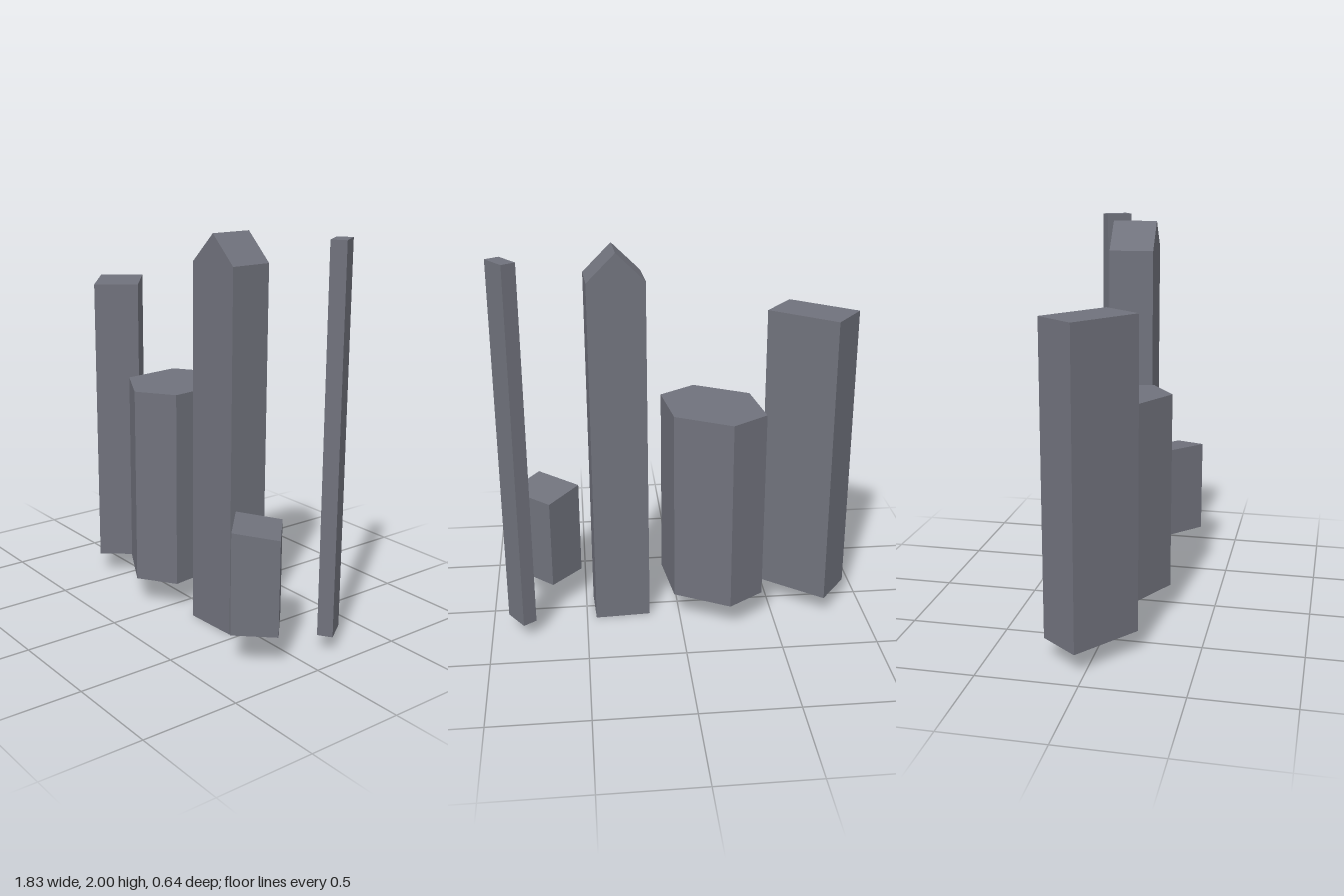
import * as THREE from 'three';

const slate = new THREE.MeshStandardMaterial({ color: 0x70727c, side: THREE.DoubleSide });
slate.name = 'slate grey';

// Hollow prism, open underneath. Footprint corners are [x, z, topHeight],
// clockwise from above; the cap is made of strips across the footprint.
function prism(name, base, corners) {
  const n = corners.length;
  const low = corners.map(([x, z]) => [x, base, z]);
  const high = corners.map(([x, z, top]) => [x, top, z]);
  const positions = [];
  const quad = (a, b, c, d) => positions.push(...a, ...b, ...c, ...a, ...c, ...d);

  // walls
  for (let i = 0; i < n; i++) {
    const j = (i + 1) % n;
    quad(low[j], low[i], high[i], high[j]);
  }
  // cap
  for (let i = 0; i < n / 2 - 1; i++) {
    quad(high[n - 1 - i], high[n - 2 - i], high[i + 1], high[i]);
  }

  const geometry = new THREE.BufferGeometry();
  geometry.setAttribute('position', new THREE.Float32BufferAttribute(positions, 3));
  geometry.computeVertexNormals();
  const mesh = new THREE.Mesh(geometry, slate);
  mesh.name = name;
  return mesh;
}

// Gives every footprint corner the same height
const flat = (top, points) => points.map(([x, z]) => [x, z, top]);

export function createModel() {
  const group = new THREE.Group();
  group.name = 'towerCluster';
  group.add(
    prism('broadSlabTower', 0.11, flat(1.66, [
      [-0.917, -0.04], [-0.772, -0.225], [-0.461, 0.016], [-0.606, 0.2],
    ])),
    prism('hexagonalTower', 0.15, flat(1.177, [
      [-0.436, -0.197], [-0.25, -0.322], [0.032, -0.17],
      [0.072, 0.15], [-0.115, 0.276], [-0.396, 0.122],
    ])),
    // ridge runs through the second and fifth corners
    prism('gabledTower', 0, [
      [0.161, -0.107, 1.857], [0.306, -0.115, 2], [0.45, -0.122, 1.857],
      [0.461, 0.105, 1.857], [0.317, 0.113, 2], [0.173, 0.12, 1.857],
    ]),
    prism('slenderTower', 0.083, flat(2, [
      [0.768, -0.25], [0.832, -0.293], [0.913, -0.175], [0.849, -0.132],
    ])),
    // low block with a slightly sloping top
    prism('slopedBlock', 0.17, [
      [0.522, 0.122, 0.684], [0.678, -0.042, 0.654],
      [0.888, 0.153, 0.654], [0.734, 0.32, 0.684],
    ]),
  );
  return group;
}
